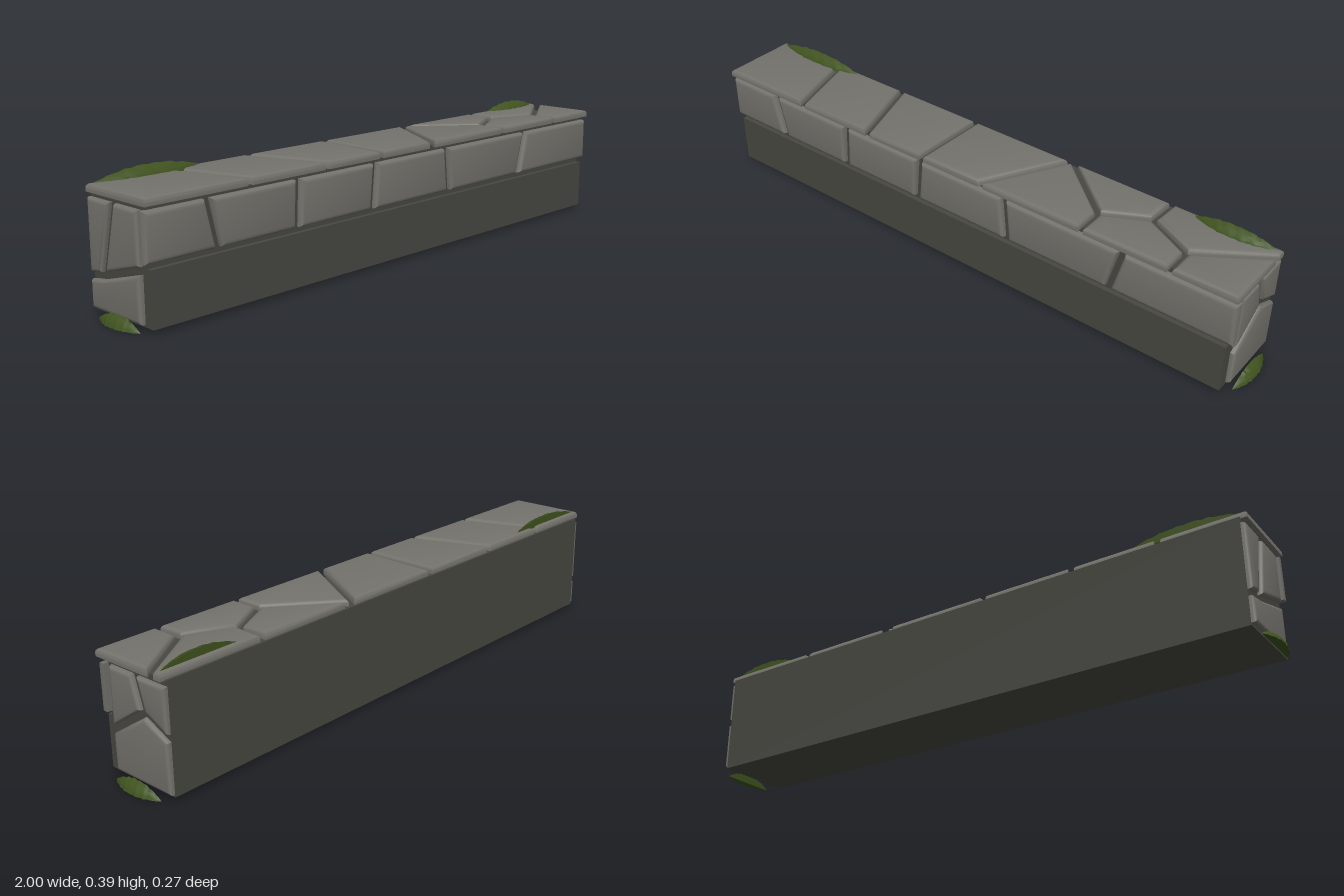
import * as THREE from 'three';
import { toCreasedNormals } from 'three/addons/utils/BufferGeometryUtils.js';

const stoneMat = new THREE.MeshStandardMaterial({ name: 'stone', color: 0x75736d });
const mortarMat = new THREE.MeshStandardMaterial({ name: 'mortar', color: 0x484842 });
const mossMat = new THREE.MeshStandardMaterial({ name: 'moss', color: 0x40531f, side: THREE.DoubleSide });

// Move every edge of a counter-clockwise convex outline inwards by d
function inset(poly, d) {
  const n = poly.length;
  return poly.map((p, i) => {
    const a = poly[(i + n - 1) % n], b = poly[(i + 1) % n];
    const e = new THREE.Vector2(p[0] - a[0], p[1] - a[1]).normalize();
    const f = new THREE.Vector2(b[0] - p[0], b[1] - p[1]).normalize();
    const k = d / (1 + e.dot(f));
    return [p[0] - (e.y + f.y) * k, p[1] + (e.x + f.x) * k];
  });
}

// Surface through a stack of equal-length point loops, with fan caps
function loft(loops, crease) {
  const pos = [], n = loops[0].length;
  const tri = (a, b, c) => pos.push(...a, ...b, ...c);
  for (let j = 0; j < loops.length - 1; j++) {
    for (let i = 0; i < n; i++) {
      const k = (i + 1) % n, A = loops[j], B = loops[j + 1];
      tri(A[i], A[k], B[k]);
      tri(A[i], B[k], B[i]);
    }
  }
  const first = loops[0], last = loops[loops.length - 1];
  for (let i = 1; i < n - 1; i++) {
    tri(first[0], first[i + 1], first[i]);
    tri(last[0], last[i], last[i + 1]);
  }
  const geo = new THREE.BufferGeometry();
  geo.setAttribute('position', new THREE.Float32BufferAttribute(pos, 3));
  return toCreasedNormals(geo, crease);
}

// Stone slab: outline on the joint centre lines, rounded on its outer face
function stone(outline, gap, depth, bevel) {
  let poly = outline.slice();
  const area = THREE.ShapeUtils.area(poly.map(p => new THREE.Vector2(p[0], p[1])));
  if (area < 0) poly.reverse();
  poly = inset(poly, gap);
  const rings = [[0, 0], [0, 0.5], [0.12, 0.75], [0.45, 0.93], [1, 1]];
  return loft(rings.map(([s, h]) => inset(poly, s * bevel).map(p => [p[0], p[1], h * depth])), 0.7);
}

// Clump of moss: straight back, bulging front, tapered ends
function moss(length, height, depth) {
  const n = 20, loops = [];
  for (let i = 0; i <= n; i++) {
    const t = i / n, s = Math.max(Math.pow(Math.sin(Math.PI * t), 0.8), 0.01);
    const rough = 1 + 0.08 * Math.sin(i * 2.4);
    const h = height * Math.min(s * rough, 1), d = depth * Math.min(s * (2 - rough), 1);
    const x = (t - 0.5) * length;
    loops.push([[x, 0, 0], [x, h, 0], [x, h * 0.82, d * 0.5], [x, h * 0.45, d * 0.85], [x, 0, d]]);
  }
  // Sections run back-top-front, so reverse for outward faces
  return loft(loops.map(l => l.slice().reverse()).reverse(), 0.5);
}

export function createModel() {
  const model = new THREE.Group();
  model.name = 'stoneWall';
  const add = (parent, geo, mat, name) => {
    const m = new THREE.Mesh(geo, mat);
    m.name = name;
    parent.add(m);
    return m;
  };
  const face = (name, outlines, gap, depth, bevel) => {
    const g = new THREE.Group();
    g.name = name;
    outlines.forEach((o, i) => add(g, stone(o, gap, depth, bevel), stoneMat, `${name}Stone${i + 1}`));
    model.add(g);
    return g;
  };
  const box = (x0, x1, y0, y1, z0, z1, name) =>
    add(model, new THREE.BoxGeometry(x1 - x0, y1 - y0, z1 - z0), mortarMat, name)
      .position.set((x0 + x1) / 2, (y0 + y1) / 2, (z0 + z1) / 2);

  // Mortar core with a thicker lower front
  box(-0.957, 0.95, 0.015, 0.345, -0.133, 0.11, 'core');
  box(-0.957, 0.95, 0.015, 0.175, 0.1, 0.125, 'lowerCore');

  // Front course, split by slanted joints [top x, bottom x]
  const G = 0.01, X0 = -0.975 - G, X1 = 0.967 + G;
  const joints = [[X0, X0], [-0.772, -0.735], [-0.447, -0.455], [-0.135, -0.15],
    [0.19, 0.205], [0.607, 0.565], [X1, X1]];
  const front = [];
  for (let i = 0; i < joints.length - 1; i++) {
    const [a, b] = [joints[i], joints[i + 1]];
    front.push([[a[1], 0.19 - G], [b[1], 0.19 - G], [b[0], 0.329 + G], [a[0], 0.329 + G]]);
  }
  face('frontCourse', front, G, 0.026, 0.014).position.z = 0.104;

  // Coping, outlines in x and z
  const Z0 = -0.125 - G, Z1 = 0.133 + G;
  const coping = [
    [[X0, Z0], [-0.71, Z0], [-0.628, Z1], [X0, Z1]],
    [[-0.71, Z0], [-0.428, Z0], [-0.34, Z1], [-0.628, Z1]],
    [[-0.428, Z0], [-0.11, Z0], [-0.12, Z1], [-0.34, Z1]],
    [[-0.11, Z0], [0.262, Z0], [0.105, Z1], [-0.12, Z1]],
    [[0.262, Z0], [0.47, 0.042], [0.47, Z1], [0.105, Z1]],
    [[0.262, Z0], [0.615, Z0], [0.61, -0.03], [0.47, 0.042]],
    [[0.61, -0.03], [0.76, 0.045], [0.76, Z1], [0.47, Z1], [0.47, 0.042]],
    [[0.615, Z0], [X1, Z0], [X1, -0.095], [0.76, 0.045], [0.61, -0.03]],
    [[X1, -0.095], [X1, Z1], [0.76, Z1], [0.76, 0.045]],
  ].map(o => o.map(([x, z]) => [x, -z]));
  const top = face('coping', coping, 0.009, 0.023, 0.014);
  top.rotation.x = -Math.PI / 2;
  top.position.y = 0.343;

  // End stones, outlines in z and y
  const F = 0.09 + G, B = -0.132 - G, L = 0.022 - G, T = 0.327 + G;
  const leftEnd = [
    [[F, L], [B, L], [B, 0.18], [-0.04, 0.228], [F, 0.137]],
    [[F, 0.137], [-0.04, 0.228], [-0.008, T], [F, T]],
    [[B, 0.18], [B, T], [-0.008, T], [-0.04, 0.228]],
  ].map(o => o.map(([z, y]) => [-z, y]));
  const rightEnd = [
    [[F, L], [B, L], [B, 0.11], [-0.075, 0.12], [F, 0.17]],
    [[F, 0.17], [-0.075, 0.12], [-0.02, T], [F, T]],
    [[B, 0.11], [B, T], [-0.02, T], [-0.075, 0.12]],
  ];
  const ends = [['leftEnd', leftEnd, 1, 0.945], ['rightEnd', rightEnd, -1, -0.953]];
  for (const [name, outlines, side, x] of ends) {
    const g = face(name, outlines, G, 0.02, 0.012);
    g.rotation.y = side * Math.PI / 2;
    g.position.x = x;
    // Moss at the foot of each end
    const foot = add(model, moss(0.186, 0.031, 0.029), mossMat, 'footMoss');
    foot.rotation.y = side * Math.PI / 2;
    foot.position.set(side * 0.971, 0, -0.008);
  }

  // Moss along the back of the coping
  for (const [x, length, height] of [[-0.785, 0.375, 0.032], [0.825, 0.28, 0.03]])
    add(model, moss(length, height, 0.034), mossMat, 'copingMoss').position.set(x, 0.36, -0.113);

  return model;
}
